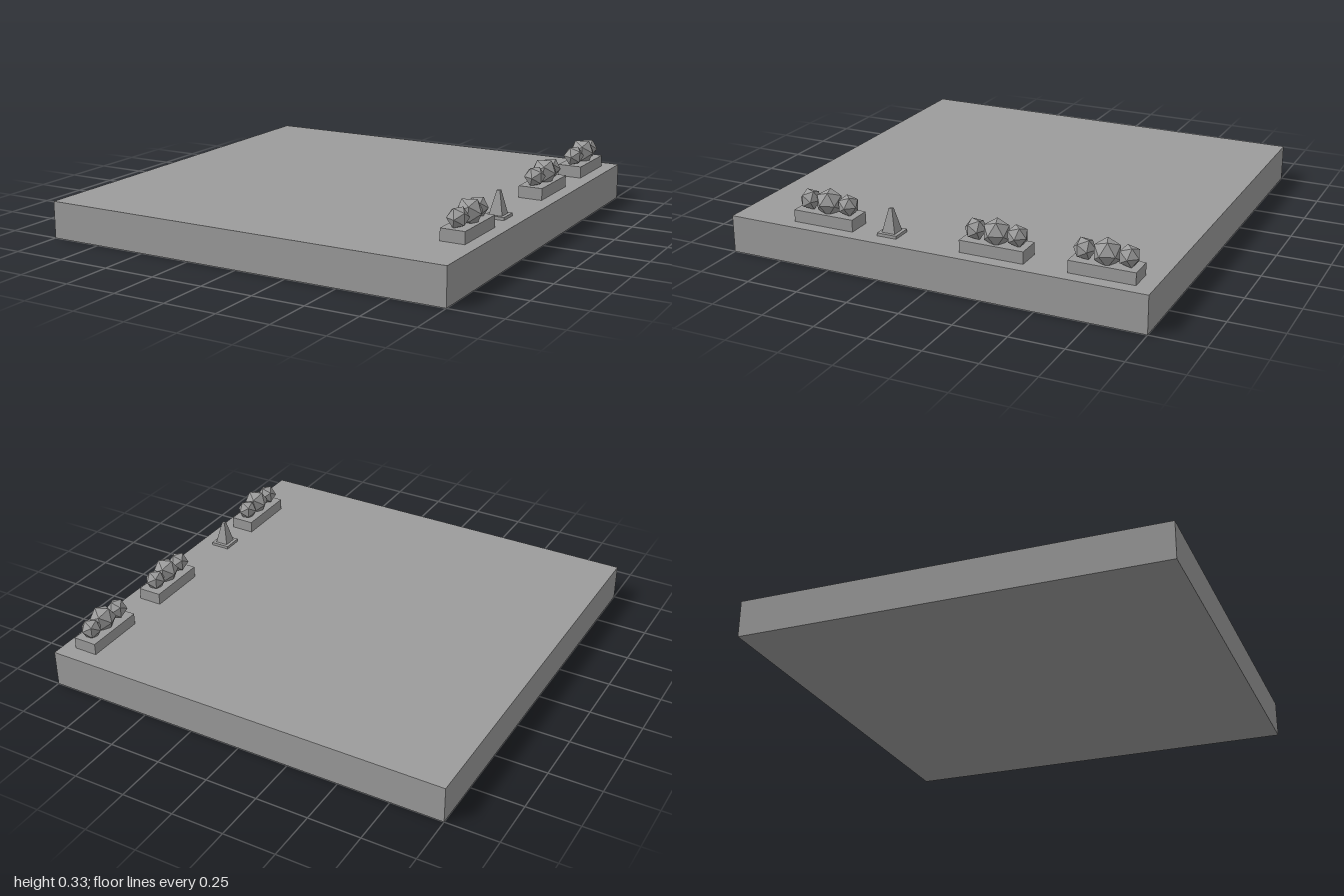
import * as THREE from 'three';

const material = new THREE.MeshStandardMaterial({ color: 0x9c9c9c, flatShading: true });
const SLAB = 0.175;

function part(name, geometry, x, y, z, parent) {
  const mesh = new THREE.Mesh(geometry, material);
  mesh.name = name;
  mesh.position.set(x, y, z);
  parent.add(mesh);
  return mesh;
}

// Low box with a row of three faceted shrubs
function createPlanter(z) {
  const planter = new THREE.Group();
  planter.name = 'planter';
  planter.position.set(0.88, SLAB, z);
  part('planterBox', new THREE.BoxGeometry(0.115, 0.056, 0.3), 0, 0.028, 0, planter);
  const shrubs = [
    // radius, x, y, z, turn
    [0.05, -0.002, 0.096, -0.097, 0.7],
    [0.064, 0.004, 0.098, -0.003, 0.35],
    [0.05, 0, 0.096, 0.098, 1.1],
  ];
  for (const [r, x, y, dz, turn] of shrubs) {
    part('shrub', new THREE.IcosahedronGeometry(r, 0), x, y, dz, planter).rotation.y = turn;
  }
  return planter;
}

// Four-sided marker cone on a square foot
function createMarkerCone() {
  const cone = new THREE.Group();
  cone.name = 'markerCone';
  cone.position.set(0.88, SLAB, 0.238);
  part('coneFoot', new THREE.BoxGeometry(0.095, 0.014, 0.095), 0, 0.007, 0, cone);
  const body = new THREE.CylinderGeometry(0.011, 0.045, 0.108, 4).rotateY(Math.PI / 4);
  part('coneBody', body, 0, 0.068, 0, cone);
  return cone;
}

export function createModel() {
  const model = new THREE.Group();
  model.name = 'plaza';
  part('groundSlab', new THREE.BoxGeometry(2, SLAB, 2), 0, SLAB / 2, 0, model);
  for (const z of [0.555, -0.272, -0.772]) model.add(createPlanter(z));
  model.add(createMarkerCone());
  return model;
}
